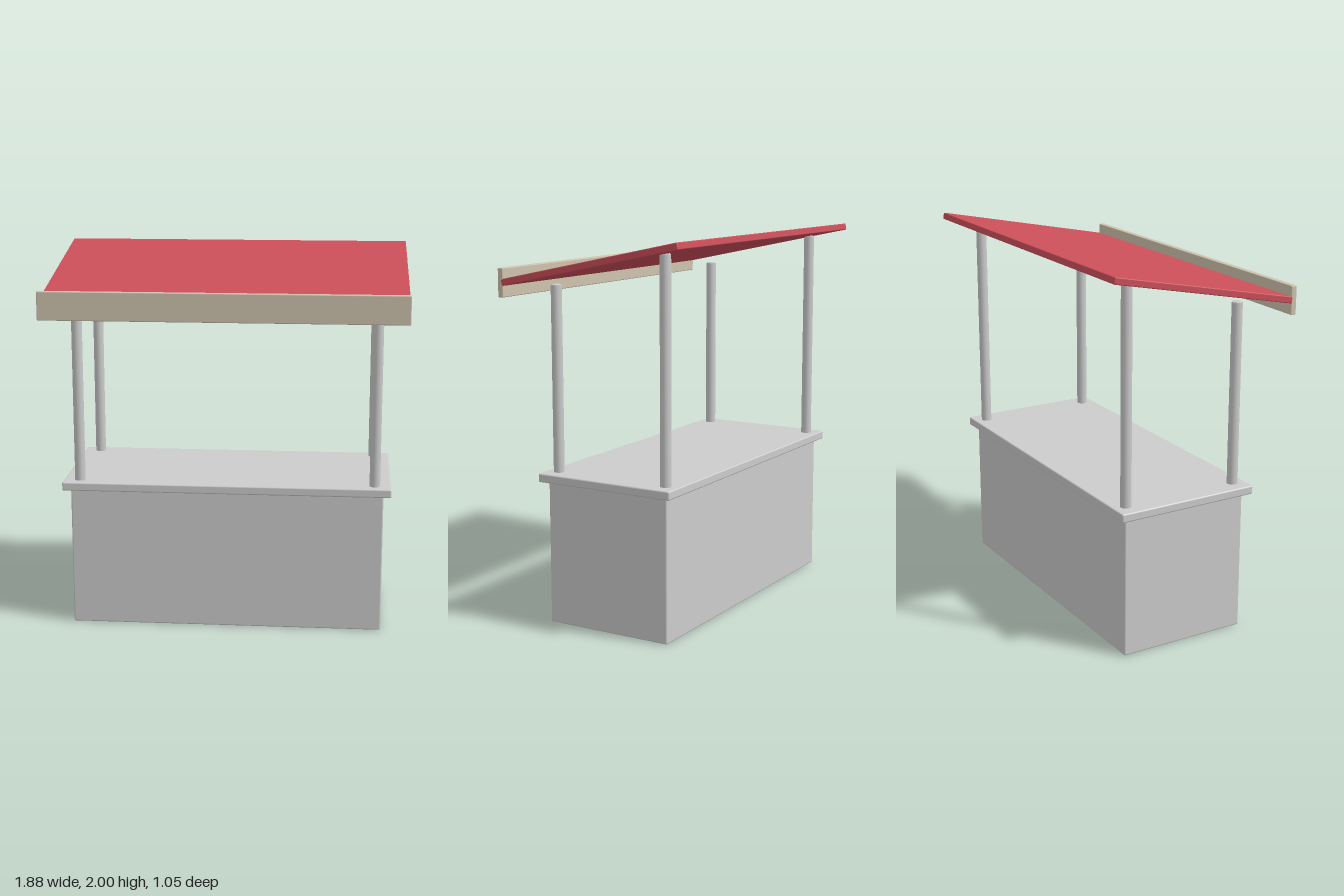
import * as THREE from 'three';
import { RoundedBoxGeometry } from 'three/addons/geometries/RoundedBoxGeometry.js';

const paint = (name, color) => {
  const material = new THREE.MeshStandardMaterial({ color });
  material.name = name;
  return material;
};

export function createModel() {
  const stall = new THREE.Group();
  stall.name = 'marketStall';

  const grey = paint('light grey', 0xcccccc);
  const red = paint('awning red', 0xcb4f59);
  const beige = paint('beige', 0xcfc3ae);

  const add = (name, geometry, material, x, y, z) => {
    const mesh = new THREE.Mesh(geometry, material);
    mesh.name = name;
    mesh.position.set(x, y, z);
    stall.add(mesh);
    return mesh;
  };
  // Box with slightly softened edges
  const box = (w, h, d, r) => new RoundedBoxGeometry(w, h, d, 2, r);

  // Counter body and overhanging top
  add('counterBody', box(1.664, 0.75, 0.704, 0.008), grey, 0, 0.375, -0.04);
  add('counterTop', box(1.744, 0.046, 0.78, 0.008), grey, 0, 0.772, -0.04);

  // Round posts with a small bevel at the top, taller at the back
  const post = (name, x, z, top) => {
    const r = 0.028, bevel = 0.006, height = top - 0.78;
    const profile = [[0, 0], [r, 0], [r, 0], [r, height - bevel], [r - bevel, height], [0, height]]
      .map(([px, py]) => new THREE.Vector2(px, py));
    profile.splice(2, 1);
    add(name, new THREE.LatheGeometry(profile, 24), grey, x, 0.78, z);
  };
  for (const [side, x] of [['left', 0.785], ['right', -0.785]]) {
    post(side + 'FrontPost', x, 0.28, 1.757);
    post(side + 'BackPost', x, -0.36, 1.935);
  }

  // Sloping roof and the board along its front edge
  const roof = add('roof', box(1.88, 0.035, 1.05, 0.005), red, 0, 1.874, -0.005);
  roof.rotation.x = THREE.MathUtils.degToRad(12);
  add('frontBoard', box(1.88, 0.148, 0.032, 0.005), beige, 0, 1.765, 0.511);

  return stall;
}
